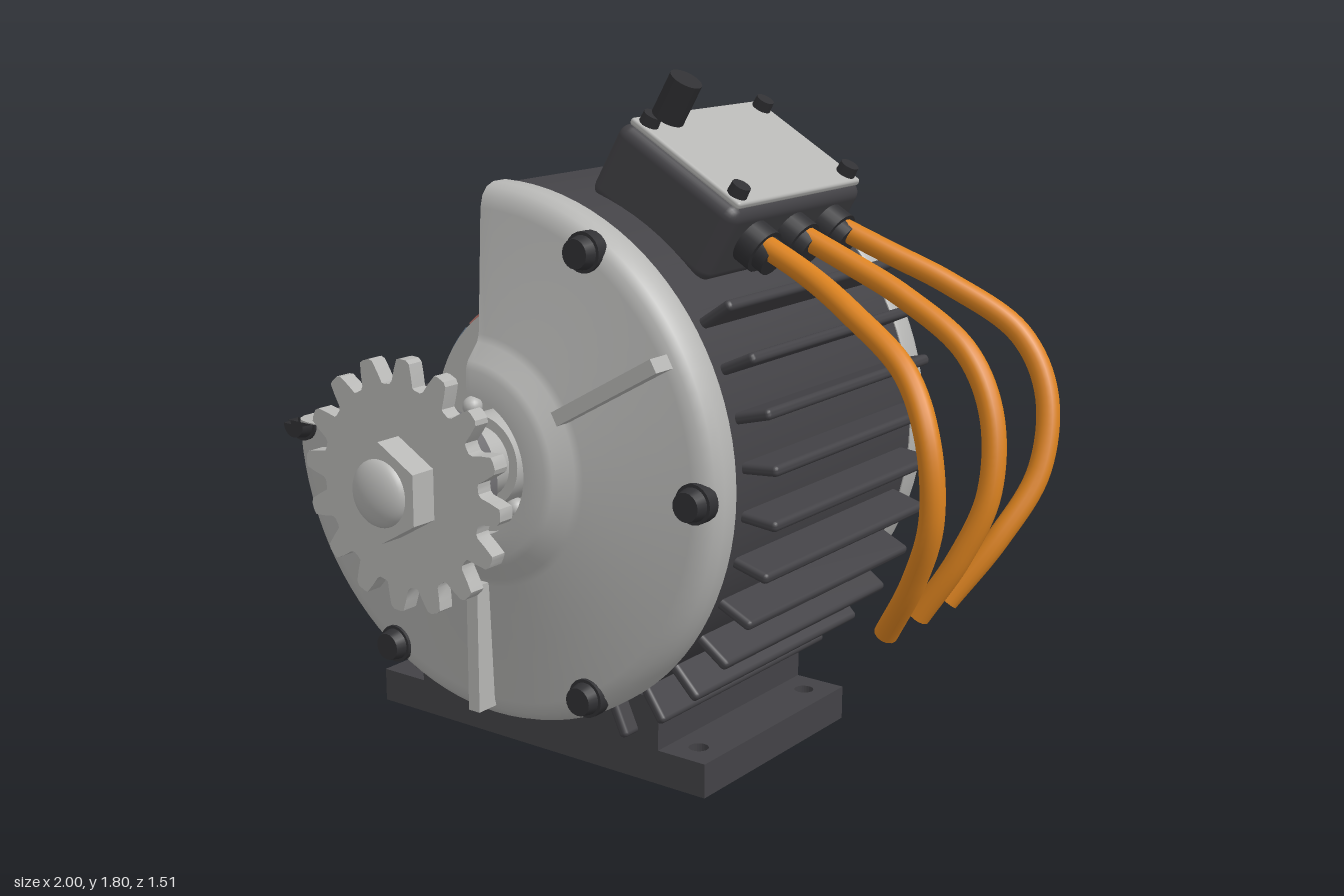
import * as THREE from 'three';
import { mergeGeometries, toCreasedNormals } from 'three/addons/utils/BufferGeometryUtils.js';
import { RoundedBoxGeometry } from 'three/addons/geometries/RoundedBoxGeometry.js';

const material = (name, color, side = THREE.FrontSide) => {
  const m = new THREE.MeshStandardMaterial({ color, side });
  m.name = name;
  return m;
};
const M = {
  alloy: material('light alloy', 0xb6b6b4),
  housing: material('dark housing', 0x434246),
  bolt: material('black steel', 0x303033, THREE.DoubleSide),
  collar: material('mid grey', 0x6e6d70),
  stator: material('stator steel', 0x8e8e90),
  copper: material('copper', 0xcb9264),
  cable: material('orange cable', 0xdb821f),
  red: material('red magnet', 0xbd776d),
  blue: material('blue magnet', 0x66798e),
};
const RAD = Math.PI / 180;

function add(parent, name, geometry, mat, x = 0, y = 0, z = 0) {
  const mesh = new THREE.Mesh(geometry, mat);
  mesh.name = name;
  mesh.position.set(x, y, z);
  parent.add(mesh);
  return mesh;
}

// Place a part whose own x axis points away from the motor axis
function addPolar(parent, name, geometry, mat, degrees, r, z = 0) {
  const a = degrees * RAD;
  const mesh = add(parent, name, geometry, mat, r * Math.cos(a), r * Math.sin(a), z);
  mesh.rotation.z = a;
  return mesh;
}

// Cylinder lying along z between two depths
function rod(r, z0, z1, sides = 40, rEnd = r, start = 0, length = Math.PI * 2) {
  return new THREE.CylinderGeometry(rEnd, r, z1 - z0, sides, 1, false, start, length)
    .rotateX(Math.PI / 2).translate(0, 0, (z0 + z1) / 2);
}

// Revolve a closed counter-clockwise (radius, z) profile from angle a to b, capping the cut faces
function sector(profile, a, b, segments = 72) {
  const pts = profile.map(p => new THREE.Vector2(...p));
  const parts = [new THREE.LatheGeometry([...pts, pts[0].clone()], segments, (a + 90) * RAD, (b - a) * RAD)
    .rotateX(Math.PI / 2)];
  if (b - a < 360) for (const [deg, flip] of [[a, false], [b, true]]) {
    const face = new THREE.ShapeGeometry(new THREE.Shape(pts));
    const c = Math.cos(deg * RAD), s = Math.sin(deg * RAD);
    face.applyMatrix4(new THREE.Matrix4().makeBasis(
      new THREE.Vector3(c, s, 0), new THREE.Vector3(0, 0, 1), new THREE.Vector3(s, -c, 0)));
    if (flip) face.index.array.reverse();
    parts.push(face);
  }
  return toCreasedNormals(mergeGeometries(parts), 0.5);
}
const ring = (r0, r1, z0, z1) => [[r0, z0], [r1, z0], [r1, z1], [r0, z1]];
const mirrored = profile => profile.map(([r, z]) => [r, -z]).reverse();

function roundedRect(w, h, r, Type = THREE.Shape) {
  const s = new Type();
  s.absarc(w - r, h - r, r, 0, Math.PI / 2);
  s.absarc(r - w, h - r, r, Math.PI / 2, Math.PI);
  s.absarc(r - w, r - h, r, Math.PI, Math.PI * 1.5);
  s.absarc(w - r, r - h, r, Math.PI * 1.5, Math.PI * 2);
  s.closePath();
  return s;
}

function buildCase(motor) {
  // Three-quarter shell with a quadrant cut away
  add(motor, 'housing', sector(ring(0.64, 0.687, -0.41, 0.41), 180, 450), M.housing);
  const fin = new RoundedBoxGeometry(0.14, 0.028, 0.76, 2, 0.012);
  for (let a = -175; a <= 35; a += 10)
    if (a <= -115 || a >= -65) addPolar(motor, 'coolingFin', fin, M.housing, a, 0.715);

  const cap = [[0.18, 0.41], [0.69, 0.41], [0.695, 0.42], [0.695, 0.465], [0.685, 0.49], [0.665, 0.507],
    [0.635, 0.515], [0.325, 0.53], [0.305, 0.537], [0.265, 0.572], [0.245, 0.58], [0.18, 0.58]];
  for (const side of [1, -1]) {
    const flip = p => side > 0 ? p : mirrored(p);
    add(motor, 'endCap', sector(flip(cap), 180, 450), M.alloy);
    for (const a of [-90, 30])
      addPolar(motor, 'capRib', new THREE.BoxGeometry(0.34, 0.036, 0.08), M.alloy, a, 0.485, side * 0.535);
    // Bearing with six balls
    add(motor, 'outerRace', sector(flip(ring(0.16, 0.182, 0.43, 0.53)), 180, 450), M.alloy);
    add(motor, 'innerRace', sector(flip(ring(0.09, 0.118, 0.43, 0.53)), 0, 360), M.alloy);
    for (let a = 0; a < 360; a += 60)
      addPolar(motor, 'bearingBall', new THREE.SphereGeometry(0.026, 16, 12), M.alloy, a, 0.14, side * 0.48);
    // Cap bolts, the one on the cut plane being halved
    for (const a of [60, 0, -60, -120, 180]) {
      const half = a === 180;
      const start = half ? Math.PI * 1.5 : 0, sweep = half ? Math.PI : Math.PI * 2;
      const bolt = new THREE.Group();
      bolt.name = 'capBolt';
      add(bolt, 'boltWasher', rod(0.05, -0.02, 0.015, 20, 0.05, start, sweep), M.bolt);
      add(bolt, 'boltHead', rod(0.042, 0.015, 0.045, 20, 0.036, start, sweep), M.bolt);
      bolt.position.set(0.645 * Math.cos(a * RAD), 0.645 * Math.sin(a * RAD), side * 0.51);
      if (side < 0) bolt.rotation.set(Math.PI, 0, half ? Math.PI : 0);
      if (side < 0 && half) bolt.rotation.set(0, Math.PI, 0);
      motor.add(bolt);
    }
  }
}

function buildCore(motor) {
  // Stator yoke, teeth and windings
  add(motor, 'statorYoke', sector(ring(0.54, 0.642, -0.28, 0.28), 180, 450), M.stator);
  const coilShape = roundedRect(0.33, 0.105, 0.06);
  coilShape.holes.push(roundedRect(0.28, 0.05, 0.02, THREE.Path));
  const coil = new THREE.ExtrudeGeometry(coilShape, { depth: 0.11, bevelEnabled: false, curveSegments: 6 })
    .rotateY(Math.PI / 2);
  for (let a = 195; a < 450; a += 30) {
    addPolar(motor, 'statorTooth', new THREE.BoxGeometry(0.15, 0.09, 0.54), M.stator, a, 0.472);
    addPolar(motor, 'toothTip', new THREE.BoxGeometry(0.025, 0.17, 0.54), M.stator, a, 0.41);
    addPolar(motor, 'winding', coil, M.copper, a, 0.43);
  }
  // Rotor with eight alternating magnets
  add(motor, 'rotorCore', rod(0.355, -0.27, 0.27, 64), M.collar);
  for (let i = 0; i < 8; i++)
    add(motor, 'magnet', sector(ring(0.35, 0.382, -0.27, 0.27), i * 45 + 1.5, i * 45 + 43.5, 12),
      i % 2 ? M.blue : M.red);
  for (const side of [-1, 1])
    add(motor, 'rotorEndPlate', rod(0.372, side * 0.278 - 0.008, side * 0.278 + 0.008, 64), M.alloy);
}

function buildDrive(motor) {
  add(motor, 'shaft', rod(0.092, -0.54, 0.7), M.alloy);
  for (const [side, z, r] of [[1, 0.89, 0.085], [-1, -0.54, 0.09]]) {
    const dome = add(motor, 'shaftEnd', new THREE.SphereGeometry(r, 32, 10, 0, Math.PI * 2, 0, Math.PI / 2)
      .rotateX(side * Math.PI / 2), M.alloy, 0, 0, z);
    dome.scale.z = 0.45;
  }
  add(motor, 'collar', rod(0.175, 0.67, 0.785, 48), M.collar);
  // Sprocket with sixteen rounded teeth
  const pts = [];
  for (let i = 0; i < 192; i++) {
    const a = i / 192 * Math.PI * 2;
    const r = 0.283 + 0.032 * THREE.MathUtils.clamp(1.7 * Math.cos(16 * a + 1), -1, 1);
    pts.push(new THREE.Vector2(r * Math.cos(a), r * Math.sin(a)));
  }
  add(motor, 'sprocket', toCreasedNormals(new THREE.ExtrudeGeometry(new THREE.Shape(pts),
    { depth: 0.044, bevelEnabled: false }), 0.6), M.alloy, 0, 0, 0.78);
  add(motor, 'hexNut', toCreasedNormals(rod(0.126, 0.82, 0.895, 6), 0.3), M.alloy);
}

function buildTerminal(motor) {
  // Terminal box tilted on the upper side of the shell
  const box = new THREE.Group();
  box.name = 'terminalBox';
  box.rotation.z = -30 * RAD;
  motor.add(box);
  add(box, 'boxBody', new RoundedBoxGeometry(0.4, 0.215, 0.59, 3, 0.035), M.housing, 0, 0.755, 0);
  add(box, 'boxLid', new RoundedBoxGeometry(0.37, 0.02, 0.55, 2, 0.008), M.alloy, 0, 0.868, 0);
  for (const x of [-0.15, 0.15]) for (const z of [-0.245, 0.245])
    add(box, 'lidScrew', new THREE.CylinderGeometry(0.024, 0.026, 0.03, 16), M.bolt, x, 0.89, z);
  add(box, 'knob', new THREE.CylinderGeometry(0.042, 0.042, 0.11, 24), M.bolt, -0.13, 0.96, 0.21);

  // Glands and hanging cables
  const x = [0.57, 0.74, 0.9, 1.08, 1.165, 1.185, 1.13, 1.04];
  const y = [0.57, 0.505, 0.44, 0.335, 0.2, 0.02, -0.14, -0.295];
  const runs = [
    [0.0, 0.03, 0.09, 0.15, 0.192, 0.198, 0.17, 0.13],
    [-0.17, -0.165, -0.155, -0.135, -0.11, -0.075, -0.045, -0.02],
    [-0.34, -0.355, -0.38, -0.408, -0.395, -0.335, -0.24, -0.16],
  ];
  for (const z of runs) {
    for (const [r, len, at] of [[0.058, 0.06, 0.22], [0.045, 0.04, 0.262]])
      add(box, 'cableGland', new THREE.CylinderGeometry(r, r, len, 24).rotateZ(Math.PI / 2),
        M.bolt, at, 0.768, z[0] + 0.17);
    const path = new THREE.CatmullRomCurve3(z.map((d, i) => new THREE.Vector3(x[i], y[i], d + 0.17)));
    add(motor, 'cable', new THREE.TubeGeometry(path, 60, 0.029, 14), M.cable);
    const end = add(motor, 'cableEnd', new THREE.CircleGeometry(0.029, 14), M.cable);
    end.position.copy(path.getPoint(1));
    end.lookAt(path.getPoint(1).add(path.getTangent(1)));
  }
}

function buildBase(root) {
  // Foot plate with four mounting holes and a pedestal
  const plate = new THREE.Shape([[-0.55, -0.33], [0.55, -0.33], [0.55, 0.33], [-0.55, 0.33]]
    .map(p => new THREE.Vector2(...p)));
  for (const x of [-0.475, 0.475]) for (const y of [-0.25, 0.25])
    plate.holes.push(new THREE.Path().absarc(x, y, 0.026, 0, Math.PI * 2));
  add(root, 'footPlate', new THREE.ExtrudeGeometry(plate, { depth: 0.092, bevelEnabled: false })
    .rotateX(-Math.PI / 2), M.housing, -0.22, 0, -0.17);
  add(root, 'pedestal', new THREE.BoxGeometry(0.81, 0.145, 0.66), M.housing, -0.22, 0.16, -0.17);
}

export function createModel() {
  const root = new THREE.Group();
  root.name = 'cutawayMotor';
  const motor = new THREE.Group();
  motor.name = 'motor';
  motor.position.set(-0.22, 0.835, -0.17);
  root.add(motor);
  buildCase(motor);
  buildCore(motor);
  buildDrive(motor);
  buildTerminal(motor);
  buildBase(root);
  return root;
}
